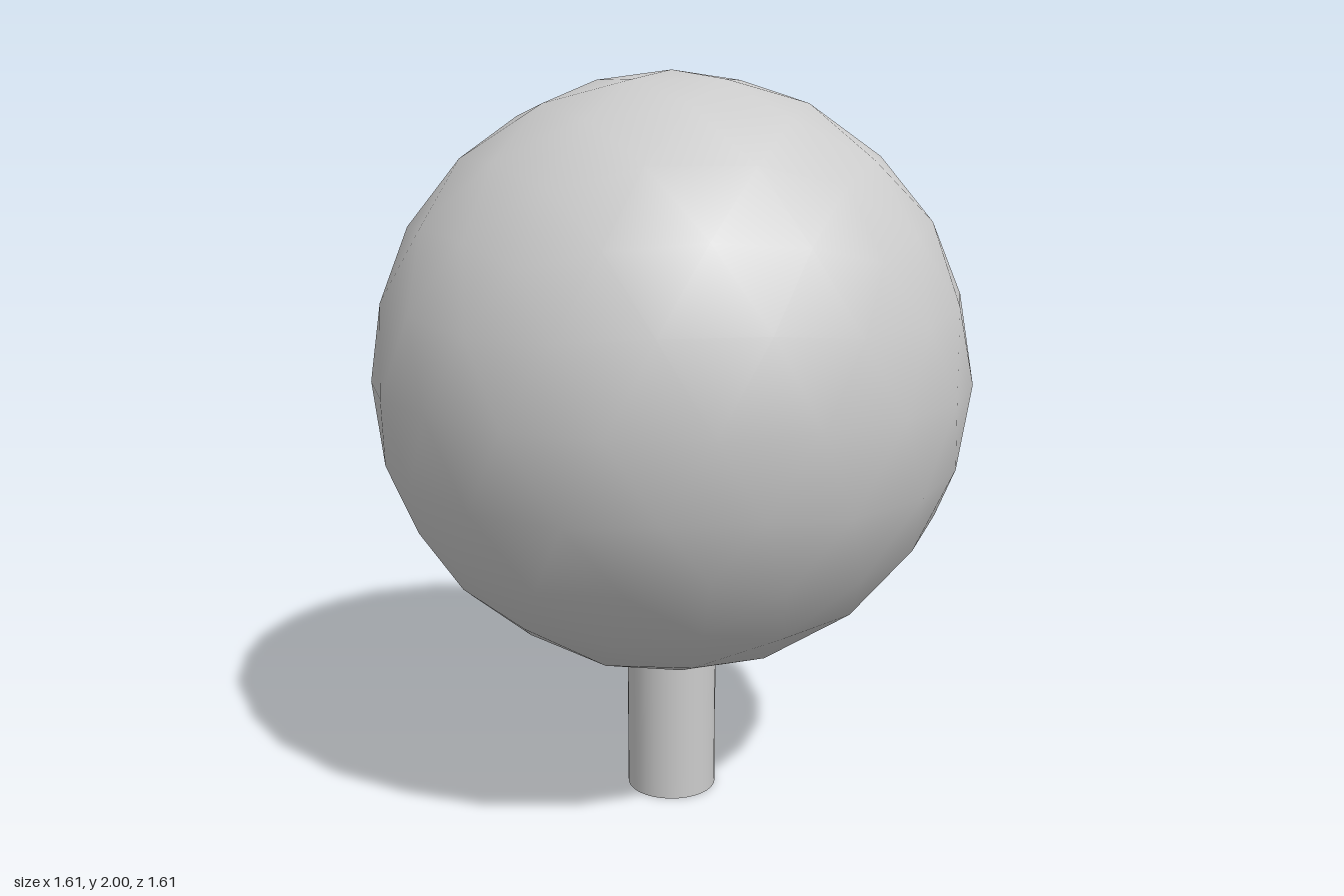
import * as THREE from 'three';

export function createModel() {
  const group = new THREE.Group();
  const grey = new THREE.MeshStandardMaterial({ color: 0xcccccc });
  const greyOpen = new THREE.MeshStandardMaterial({ color: 0xcccccc, side: THREE.DoubleSide });

  // Ball: smooth icosphere turned to stand on a corner, upper ring corner towards +x
  const radius = 0.804;
  const golden = (1 + Math.sqrt(5)) / 2;
  const ballGeometry = new THREE.IcosahedronGeometry(radius, 3);
  ballGeometry.rotateX(-Math.atan(golden));
  ballGeometry.rotateY(Math.PI / 2);
  const ball = new THREE.Mesh(ballGeometry, grey);
  ball.name = 'ball';
  ball.position.y = 2 - radius;
  group.add(ball);

  // Stem: tube open at the bottom, reaching just into the ball
  const height = 0.41;
  const stem = new THREE.Mesh(new THREE.CylinderGeometry(0.125, 0.125, height, 32, 1, true), greyOpen);
  stem.name = 'stem';
  stem.position.y = height / 2;
  group.add(stem);

  return group;
}
